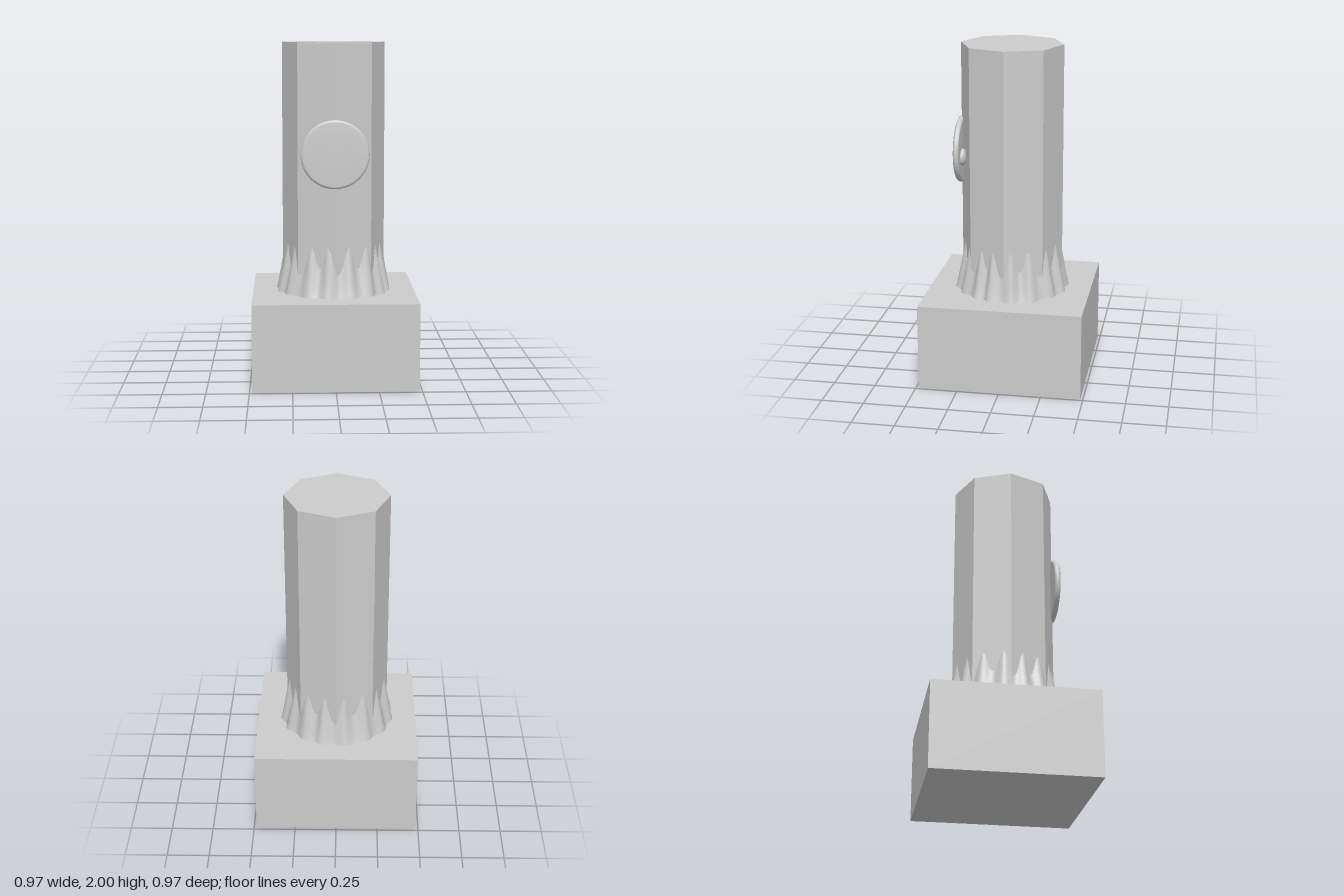
import * as THREE from 'three';

const stone = new THREE.MeshStandardMaterial({ color: 0xcccccc });
stone.name = 'grey stone';

const BASE_TOP = 0.515;
const COLUMN_R = 0.305;

function add(group, name, geometry, x = 0, y = 0, z = 0) {
  const mesh = new THREE.Mesh(geometry, stone);
  mesh.name = name;
  mesh.position.set(x, y, z);
  group.add(mesh);
  return mesh;
}

// Distance from the axis to the octagonal column's surface at angle a (0 = front)
function columnRadius(a) {
  const step = Math.PI / 4;
  const t = ((a % step) + step) % step;
  return COLUMN_R * Math.cos(step / 2) / Math.cos(t - step / 2);
}

// Ridge angles around the collar, in degrees from the front towards +x
const ridges = [-8, 17, 39, 60, 75, 98, 119, 144, 165, 189, 213, 237, 261, 285, 305, 332, 352];

// 1 on a ridge, 0 in the groove between two ridges
function ripple(deg) {
  const d = deg >= 352 ? deg - 360 : deg;
  let i = 0;
  while (d >= ridges[i + 1]) i++;
  const t = (d - ridges[i]) / (ridges[i + 1] - ridges[i]);
  return 0.5 + 0.5 * Math.cos(2 * Math.PI * t);
}

// Fluted skirt flowing from the column down to the plinth
function collarGeometry() {
  const around = 180, rows = 8;
  const positions = [], index = [];
  for (let j = 0; j <= rows; j++) {
    const v = j / rows;
    for (let i = 0; i < around; i++) {
      const deg = i * 360 / around, a = deg * Math.PI / 180;
      const w = ripple(deg), inner = columnRadius(a);
      const cornerDrop = (inner - 0.282) / 0.023 * 0.05;
      const top = 0.69 + 0.125 * Math.pow(w, 1.4) - cornerDrop * (1 - w);
      const outer = 0.327 + 0.02 * w;
      const r = outer + (inner - 0.001 - outer) * Math.pow(v, 0.9);
      const y = BASE_TOP - 0.002 + (top - BASE_TOP) * v;
      positions.push(r * Math.sin(a), y, r * Math.cos(a));
      if (j < rows) {
        const n = (i + 1) % around, p = j * around;
        index.push(p + i, p + n, p + around + n, p + i, p + around + n, p + around + i);
      }
    }
  }
  const g = new THREE.BufferGeometry();
  g.setAttribute('position', new THREE.Float32BufferAttribute(positions, 3));
  g.setIndex(index);
  g.computeVertexNormals();
  return g;
}

// Round plaque with a soft rim, its axis along z
function plaqueGeometry() {
  const profile = [
    [0, -0.018], [0.185, -0.018], [0.194, -0.015], [0.199, -0.007], [0.2, 0],
    [0.199, 0.007], [0.194, 0.014], [0.185, 0.018], [0.1, 0.019], [0, 0.02],
  ].map(([r, h]) => new THREE.Vector2(r, h));
  return new THREE.LatheGeometry(profile, 64).rotateX(Math.PI / 2);
}

export function createModel() {
  const model = new THREE.Group();
  model.name = 'pillar';

  // Square plinth
  add(model, 'plinth', new THREE.BoxGeometry(0.968, BASE_TOP, 0.968), 0, BASE_TOP / 2, 0);

  // Eight-sided shaft with flat faces and a corner to the front
  const shaft = new THREE.CylinderGeometry(COLUMN_R, COLUMN_R, 1.5, 8).toNonIndexed();
  shaft.computeVertexNormals();
  add(model, 'shaft', shaft, 0, 1.25, 0);

  add(model, 'collar', collarGeometry());

  // Plaque and the small lump behind it
  add(model, 'plaque', plaqueGeometry(), 0, 1.358, 0.305);
  const lump = add(model, 'plaqueMount', new THREE.SphereGeometry(1, 20, 14), 0.1, 1.33, 0.282);
  lump.scale.set(0.05, 0.05, 0.026);

  return model;
}
